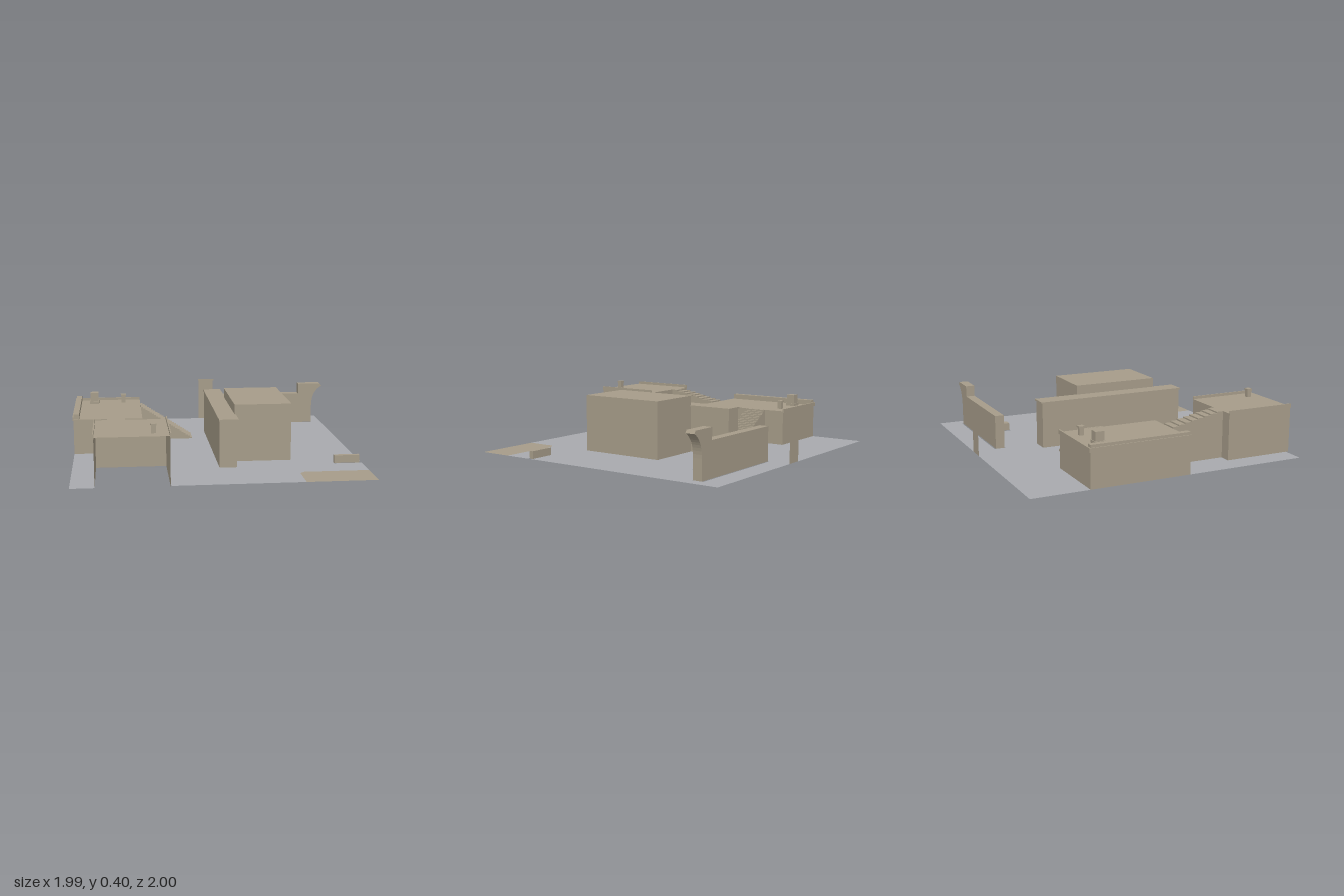
import * as THREE from 'three';

export function createModel() {
  const model = new THREE.Group();
  model.name = 'courtyard';
  const stone = new THREE.MeshStandardMaterial({ color: 0xa69c89, side: THREE.DoubleSide });
  stone.name = 'sandstone';
  const paving = new THREE.MeshStandardMaterial({ color: 0xa8aaae, side: THREE.DoubleSide });
  paving.name = 'grey paving';

  const add = (name, geometry, parent = model, material = stone) => {
    const mesh = new THREE.Mesh(geometry, material);
    mesh.name = name;
    parent.add(mesh);
    return mesh;
  };
  const group = (name) => {
    const g = new THREE.Group();
    g.name = name;
    model.add(g);
    return g;
  };
  // Box given by its limits; skipped faces are left open (0 +x, 1 -x, 2 +y, 3 -y, 4 +z, 5 -z)
  const box = (name, [x0, x1], [y0, y1], [z0, z1], parent = model, skip = []) => {
    const g = new THREE.BoxGeometry(x1 - x0, y1 - y0, z1 - z0);
    g.translate((x0 + x1) / 2, (y0 + y1) / 2, (z0 + z1) / 2);
    g.setIndex(Array.from(g.index.array).filter((_, i) => !skip.includes(Math.floor(i / 6))));
    g.clearGroups();
    return add(name, g, parent);
  };
  // Points given as x, z on the ground
  const flat = (points) => points.map(([x, z]) => new THREE.Vector2(x, -z));
  const rect = (x0, x1, z0, z1) => [[x0, z0], [x1, z0], [x1, z1], [x0, z1]];

  // Ground, cut out below the buildings
  const patch = [[0.515, 0.98], [0.515, 0.77], [0.545, 0.74], [0.99, 0.74]];
  const ground = new THREE.Shape(flat([
    [-0.99, -1], [0.99, -1], [0.99, 0.51], [0.8, 0.51], [0.8, 0.55], [0.99, 0.55],
    ...patch.slice().reverse(),
    [-0.35, 0.98], [-0.35, 0.5], [-0.83, 0.5], [-0.83, 0.98], [-0.99, 0.98],
    [-0.99, 0.11], [-0.5, 0.11], [-0.5, -0.6], [-0.99, -0.6],
  ]));
  const holes = [
    [[0, -0.52], [0.12, -0.52], [0.12, -0.205], [0.515, -0.205], [0.515, 0.425], [0.12, 0.425], [0.12, 0.58], [0, 0.58]],
    rect(0.12, 0.91, -0.845, -0.762),
    [[0.555, -0.64], [0.625, -0.64], [0.625, -0.685], [0.675, -0.685], [0.675, -0.615], [0.635, -0.615], [0.635, -0.57], [0.555, -0.57]],
  ];
  holes.forEach((h) => ground.holes.push(new THREE.Path(flat(h))));
  add('ground', new THREE.ShapeGeometry(ground).rotateX(-Math.PI / 2), model, paving);
  add('sandPatch', new THREE.ShapeGeometry(new THREE.Shape(flat([...patch, [0.99, 0.98]]))).rotateX(-Math.PI / 2));

  // Central block and the long thick wall beside it
  const centre = group('centralBuilding');
  box('block', [0.12, 0.515], [0, 0.4], [-0.205, 0.425], centre, [3]);
  box('thickWall', [0, 0.12], [0, 0.325], [-0.522, 0.582], centre, [2, 3]);
  box('wallCap', [-0.005, 0.128], [0.322, 0.333], [-0.53, 0.59], centre);

  // Chimney post with a wider cap
  const post = (x, y, z, parent) => {
    box('chimneyPost', [x - 0.015, x + 0.015], [y, y + 0.05], [z - 0.015, z + 0.015], parent);
    box('chimneyCap', [x - 0.02, x + 0.02], [y + 0.05, y + 0.062], [z - 0.02, z + 0.02], parent);
  };

  // Rear house with parapet, curb and chimneys
  const rear = group('rearHouse');
  box('walls', [-0.99, -0.502], [0, 0.25], [-0.6, 0.11], rear, [3]);
  box('backCurb', [-0.995, -0.502], [0.24, 0.268], [-0.61, -0.598], rear);
  box('sideParapet', [-0.99, -0.95], [0.25, 0.287], [-0.6, 0.105], rear);
  box('parapetLedge', [-0.997, -0.99], [0.24, 0.268], [-0.61, 0.11], rear);
  box('bigChimneyBase', [-0.888, -0.817], [0.25, 0.27], [-0.522, -0.45], rear);
  box('bigChimney', [-0.883, -0.822], [0.27, 0.333], [-0.517, -0.455], rear);
  post(-0.63, 0.25, -0.505, rear);

  // Front house, open to the front, with side parapets
  const front = group('frontHouse');
  box('walls', [-0.83, -0.355], [0, 0.328], [0.5, 1], front, [3, 4]);
  for (const x of [-0.832, -0.353]) {
    box('parapet', [x - 0.004, x + 0.004], [0.318, 0.348], [0.5, 1], front);
  }
  post(-0.455, 0.328, 0.9, front);

  // Stairs: a stepped side outline, rising along +x before turning
  const stairs = (name, length, y0, y1, steps, width) => {
    const s = new THREE.Shape();
    s.moveTo(0, 0);
    for (let i = 0; i < steps; i++) {
      const y = y0 + ((y1 - y0) * (i + 1)) / steps;
      s.lineTo((length * i) / steps, y);
      s.lineTo((length * (i + 1)) / steps, y);
    }
    s.lineTo(length, 0);
    return add(name, new THREE.ExtrudeGeometry(s, { depth: width, bevelEnabled: false }));
  };
  const down = stairs('yardStairs', 0.385, 0, 0.25, 24, 0.165);
  down.rotation.y = Math.PI;
  down.position.set(-0.115, 0, -0.285);
  const up = stairs('roofStairs', 0.39, 0.25, 0.328, 8, 0.12);
  up.rotation.y = -Math.PI / 2;
  up.position.set(-0.63, 0, 0.11);

  // Back wall with a raised, flared end
  const wall = new THREE.Shape();
  wall.moveTo(0.12, 0);
  wall.lineTo(0.91, 0);
  wall.lineTo(0.91, 0.14);
  wall.bezierCurveTo(0.91, 0.22, 0.94, 0.275, 0.99, 0.3);
  wall.lineTo(0.978, 0.32);
  wall.lineTo(0.8, 0.32);
  wall.lineTo(0.8, 0.24);
  wall.lineTo(0.12, 0.24);
  const wallGeometry = new THREE.ExtrudeGeometry(wall, { depth: 0.065, bevelEnabled: false, curveSegments: 10 });
  add('flaredWall', wallGeometry.translate(0, 0, -0.835));

  // Thin upright panel at the rear edge
  const panel = new THREE.Shape([
    [0, 0], [0.12, 0], [0.12, 0.32], [0.128, 0.322], [0.128, 0.333], [-0.005, 0.333], [-0.005, 0.322], [0, 0.32],
  ].map(([x, y]) => new THREE.Vector2(x, y)));
  add('rearPanel', new THREE.ShapeGeometry(panel).translate(0, 0, -1));

  // Crates and low barrier
  box('crate', [0.57, 0.624], [0, 0.054], [-0.63, -0.575]);
  box('crate', [0.624, 0.678], [0, 0.054], [-0.672, -0.617]);
  box('lowBarrier', [0.8, 0.977], [0, 0.053], [0.51, 0.54]);

  return model;
}
